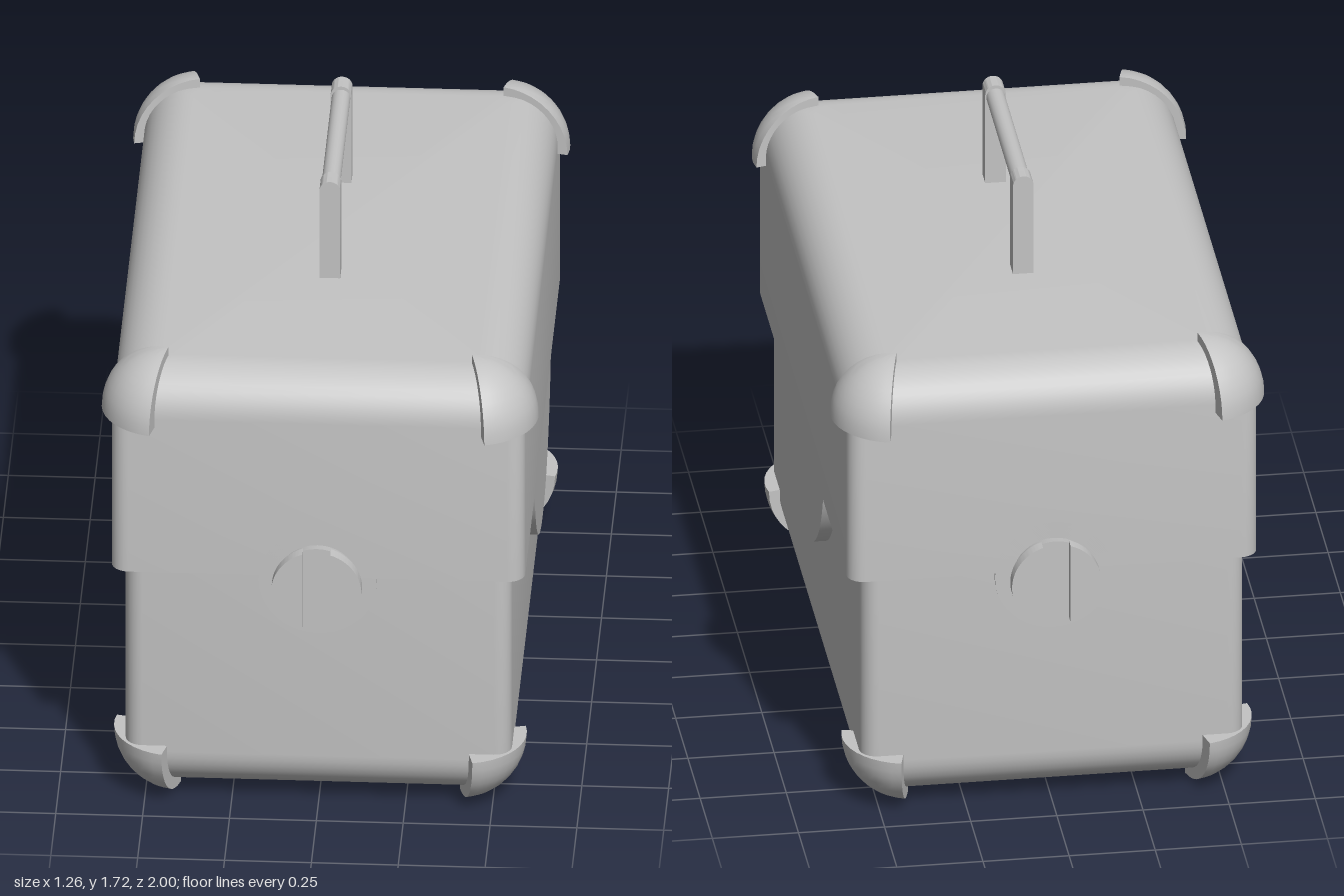
import * as THREE from 'three';
import { toCreasedNormals } from 'three/addons/utils/BufferGeometryUtils.js';

const grey = new THREE.MeshStandardMaterial({ color: 0xc4c4c4 });
grey.name = 'grey';

function part(parent, name, geometry, x = 0, y = 0, z = 0) {
  const mesh = new THREE.Mesh(geometry, grey);
  mesh.name = name;
  mesh.position.set(x, y, z);
  parent.add(mesh);
  return mesh;
}

// Half of a rounded case: open end at y = 0, rounded-over closed end at y = height
function shellGeometry(halfX, halfZ, height, round, corner) {
  const arc = 6, steps = 10, ringSize = 4 * (arc + 1);
  const positions = [], index = [];
  const ring = (y, inset) => {
    for (let q = 0; q < 4; q++) {
      const sx = q === 0 || q === 3 ? 1 : -1, sz = q < 2 ? 1 : -1;
      for (let i = 0; i <= arc; i++) {
        const a = (q + i / arc) * Math.PI / 2;
        positions.push(
          sx * (halfX - inset - corner) + corner * Math.cos(a), y,
          sz * (halfZ - inset - corner) + corner * Math.sin(a));
      }
    }
  };
  ring(0, 0);
  for (let i = 0; i <= steps; i++) {
    const t = i / steps * Math.PI / 2;
    ring(height - round + round * Math.sin(t), round * (1 - Math.cos(t)));
  }
  const rings = steps + 2, low = rings * ringSize, high = low + 1;
  positions.push(0, 0, 0, 0, height, 0);
  for (let j = 0; j < ringSize; j++) {
    const k = (j + 1) % ringSize;
    for (let r = 0; r < rings - 1; r++) {
      const a = r * ringSize + j, b = r * ringSize + k;
      index.push(a, a + ringSize, b, b, a + ringSize, b + ringSize);
    }
    const top = (rings - 1) * ringSize;
    index.push(low, j, k, high, top + k, top + j);
  }
  const g = new THREE.BufferGeometry();
  g.setAttribute('position', new THREE.Float32BufferAttribute(positions, 3));
  g.setIndex(index);
  return toCreasedNormals(g, 0.6);
}

// Closed eighth of a ball in the +x +y +z corner, turned about y by `turn`
function cornerGeometry(radius, turn) {
  const n = 10, positions = [];
  const point = (u, v) => {
    const a = u / n * Math.PI / 2 - turn, b = v / n * Math.PI / 2;
    return [radius * Math.cos(b) * Math.cos(a), radius * Math.sin(b), radius * Math.cos(b) * Math.sin(a)];
  };
  const tri = (a, b, c) => positions.push(...a, ...b, ...c);
  const o = [0, 0, 0];
  for (let i = 0; i < n; i++) {
    for (let j = 0; j < n; j++) {
      tri(point(i, j), point(i, j + 1), point(i + 1, j));
      if (j < n - 1) tri(point(i + 1, j), point(i, j + 1), point(i + 1, j + 1));
    }
    tri(o, point(i, 0), point(i + 1, 0));
    tri(o, point(0, i + 1), point(0, i));
    tri(o, point(n, i), point(n, i + 1));
  }
  const g = new THREE.BufferGeometry();
  g.setAttribute('position', new THREE.Float32BufferAttribute(positions, 3));
  return toCreasedNormals(g, 0.6);
}

const extrude = (shape, depth) =>
  new THREE.ExtrudeGeometry(shape, { depth, bevelEnabled: false, curveSegments: 32 });

export function createModel() {
  const model = new THREE.Group();
  model.name = 'case';

  // Lid and base
  part(model, 'lid', shellGeometry(0.595, 0.932, 0.64, 0.14, 0.05), 0, 0.765, 0);
  const base = part(model, 'base', shellGeometry(0.556, 0.92, 0.735, 0.14, 0.05), 0, 0.766, 0);
  base.rotation.x = Math.PI;

  // Curved flaps hanging from the long sides of the lid
  const flap = new THREE.Shape();
  const dip = Math.asin(0.137 / 0.432);
  flap.absarc(0, 0.902, 0.432, Math.PI + dip, 2 * Math.PI - dip, false);
  flap.closePath();
  for (const s of [1, -1]) {
    const g = extrude(flap, 0.055).rotateY(Math.PI / 2);
    part(model, 'sideFlap', toCreasedNormals(g, 0.5), s > 0 ? 0.54 : -0.595, 0, 0);
  }

  // Slotted knobs on both ends, each on a round plate
  const half = new THREE.Shape();
  const slot = Math.acos(0.04 / 0.13);
  half.absarc(0, 0, 0.13, -slot, slot, false);
  half.closePath();
  for (const s of [1, -1]) {
    const knob = new THREE.Group();
    knob.name = s > 0 ? 'frontKnob' : 'backKnob';
    knob.position.y = 0.75;
    knob.rotation.y = s > 0 ? 0 : Math.PI;
    const plate = new THREE.CylinderGeometry(0.17, 0.17, 0.03, 40).rotateX(Math.PI / 2);
    part(knob, 'knobPlate', plate, 0, 0, 0.917);
    const stem = new THREE.CylinderGeometry(0.124, 0.115, 0.055, 40).rotateX(Math.PI / 2);
    part(knob, 'knobStem', stem, 0, 0, 0.9375);
    for (const side of [0, Math.PI]) {
      const grip = part(knob, 'knobGrip', toCreasedNormals(extrude(half, 0.037), 0.5), 0, 0, 0.963);
      grip.rotation.z = side;
    }
    model.add(knob);
  }

  // Ball-shaped corner guards; mirrored ones get their triangles flipped by the negative scale
  const guard = cornerGeometry(0.192, 0.24);
  for (const sx of [1, -1]) for (const sz of [1, -1]) {
    part(model, 'topCorner', guard, sx * 0.437, 1.24, sz * 0.798).scale.set(sx, 1, sz);
    part(model, 'bottomCorner', guard, sx * 0.402, 0.19, sz * 0.788).scale.set(sx, -0.98, sz);
  }

  // Carrying handle: two round-topped posts and a bar
  const handle = new THREE.Group();
  handle.name = 'handle';
  const post = new THREE.Shape();
  post.moveTo(-0.03, 1.38);
  post.lineTo(0.03, 1.38);
  post.absarc(0, 1.69, 0.03, 0, Math.PI, false);
  post.closePath();
  const postGeometry = toCreasedNormals(extrude(post, 0.06), 0.5);
  for (const s of [1, -1]) part(handle, 'handlePost', postGeometry, 0, 0, s * 0.284 - 0.03);
  const bar = new THREE.CylinderGeometry(0.027, 0.027, 0.54, 20).rotateX(Math.PI / 2);
  part(handle, 'handleBar', bar, 0, 1.683, 0);
  model.add(handle);

  return model;
}
